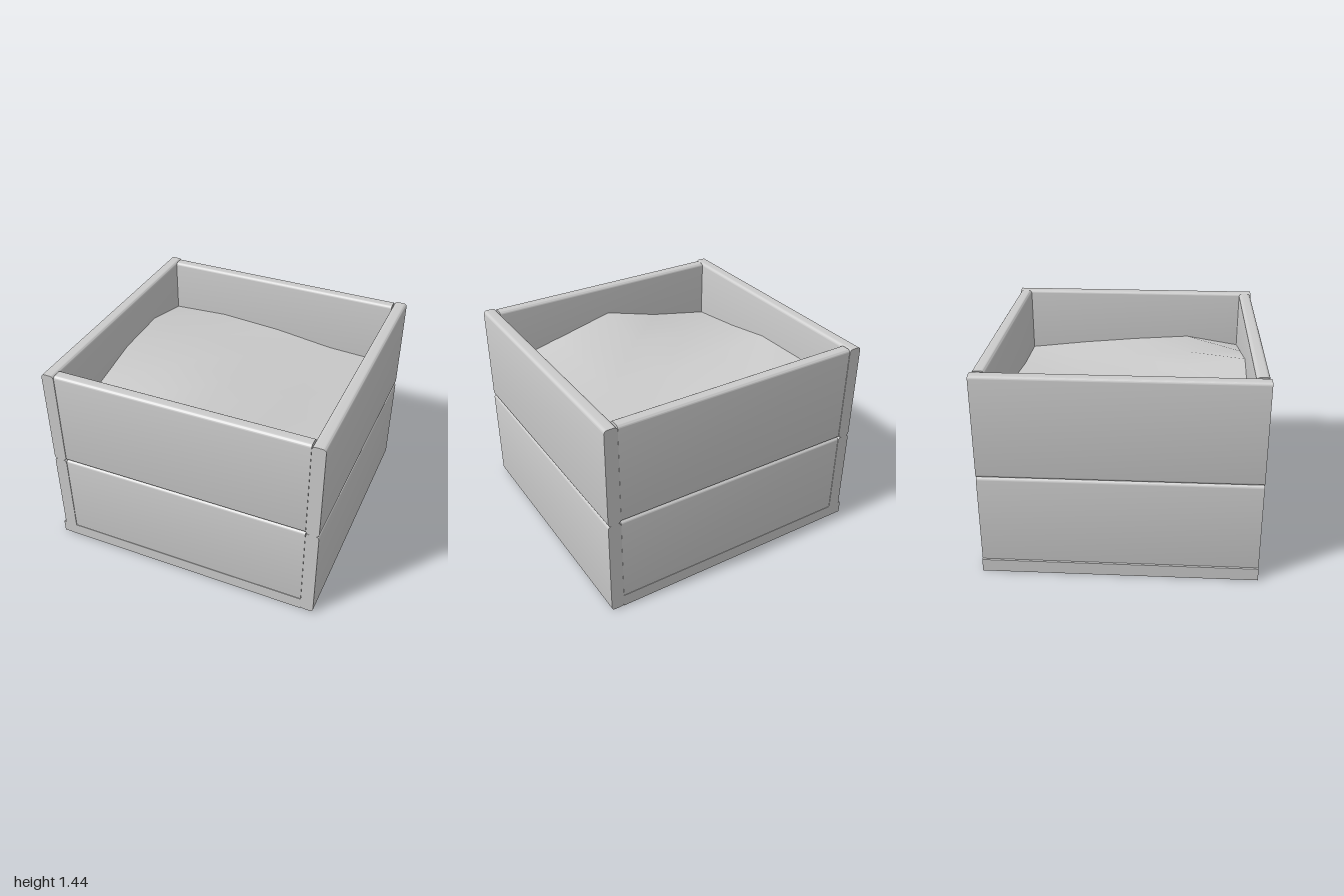
import * as THREE from 'three';
import { toCreasedNormals } from 'three/addons/utils/BufferGeometryUtils.js';

const material = new THREE.MeshStandardMaterial({ color: 0xcccccc });
const soilMaterial = new THREE.MeshStandardMaterial({ color: 0xcccccc, side: THREE.DoubleSide });

// Plank running along z: rounded long edges, flat sawn ends, centred on the origin
function plankGeometry(thickness, height, length, radius) {
  const w = thickness / 2, h = height / 2, r = radius;
  const s = new THREE.Shape();
  s.moveTo(-w + r, -h);
  s.lineTo(w - r, -h);
  s.absarc(w - r, -h + r, r, -Math.PI / 2, 0);
  s.absarc(w - r, h - r, r, 0, Math.PI / 2);
  s.absarc(-w + r, h - r, r, Math.PI / 2, Math.PI);
  s.absarc(-w + r, -h + r, r, Math.PI, Math.PI * 1.5);
  const geo = new THREE.ExtrudeGeometry(s, { depth: length, bevelEnabled: false, curveSegments: 5 });
  geo.translate(0, 0, -length / 2);
  return toCreasedNormals(geo, 0.6);
}

export function createModel() {
  const group = new THREE.Group();
  const add = (name, geometry, x, y, z, mat = material) => {
    const mesh = new THREE.Mesh(geometry, mat);
    mesh.name = name;
    mesh.position.set(x, y, z);
    group.add(mesh);
    return mesh;
  };

  // Walls: two tiers of planks
  const tier = 0.72;
  const sidePlank = plankGeometry(0.092, tier, 1.89, 0.024);
  const endPlank = plankGeometry(0.088, tier, 1.797, 0.024).rotateY(Math.PI / 2);
  for (let i = 0; i < 2; i++) {
    const y = tier * (i + 0.5) + 0.003;
    add('leftSidePlank', sidePlank, 0.954, y, 0);
    add('rightSidePlank', sidePlank, -0.938, y, 0);
    add('frontPlank', endPlank, 0.007, y, 0.897);
    add('backPlank', endPlank, 0.007, y, -0.898);
  }

  // Base frame: square strips under the walls
  add('baseSideStrip', new THREE.BoxGeometry(0.1, 0.09, 1.89), -0.95, 0.045, 0);
  for (const side of [-1, 1]) {
    add('baseEndStrip', new THREE.BoxGeometry(1.81, 0.09, 0.09), 0.005, 0.045, side * 0.9);
  }

  // Floor: three planks with rounded seams
  const floorWidth = 1.72 / 3;
  const floorPlank = plankGeometry(0.088, floorWidth, 1.82, 0.02).rotateZ(Math.PI / 2).rotateY(Math.PI / 2);
  for (let i = -1; i <= 1; i++) {
    add('floorPlank', floorPlank, 0.005, 0.047, i * floorWidth);
  }

  // Soil: uneven surface, heights listed from back to front, each row from -x to +x
  const heights = [
    [1.04, 1.06, 1.03, 0.97, 0.95],
    [1.15, 1.08, 1.04, 1.00, 1.00],
    [1.14, 1.11, 1.08, 1.06, 1.04],
    [1.06, 1.10, 1.14, 1.10, 1.07],
    [1.00, 1.09, 1.22, 1.11, 1.00],
  ].flat();
  const soil = new THREE.PlaneGeometry(1.82, 1.73, 4, 4).rotateX(-Math.PI / 2);
  heights.forEach((h, i) => soil.attributes.position.setY(i, h));
  soil.computeVertexNormals();
  add('soil', soil, 0.007, 0, 0, soilMaterial);

  return group;
}
